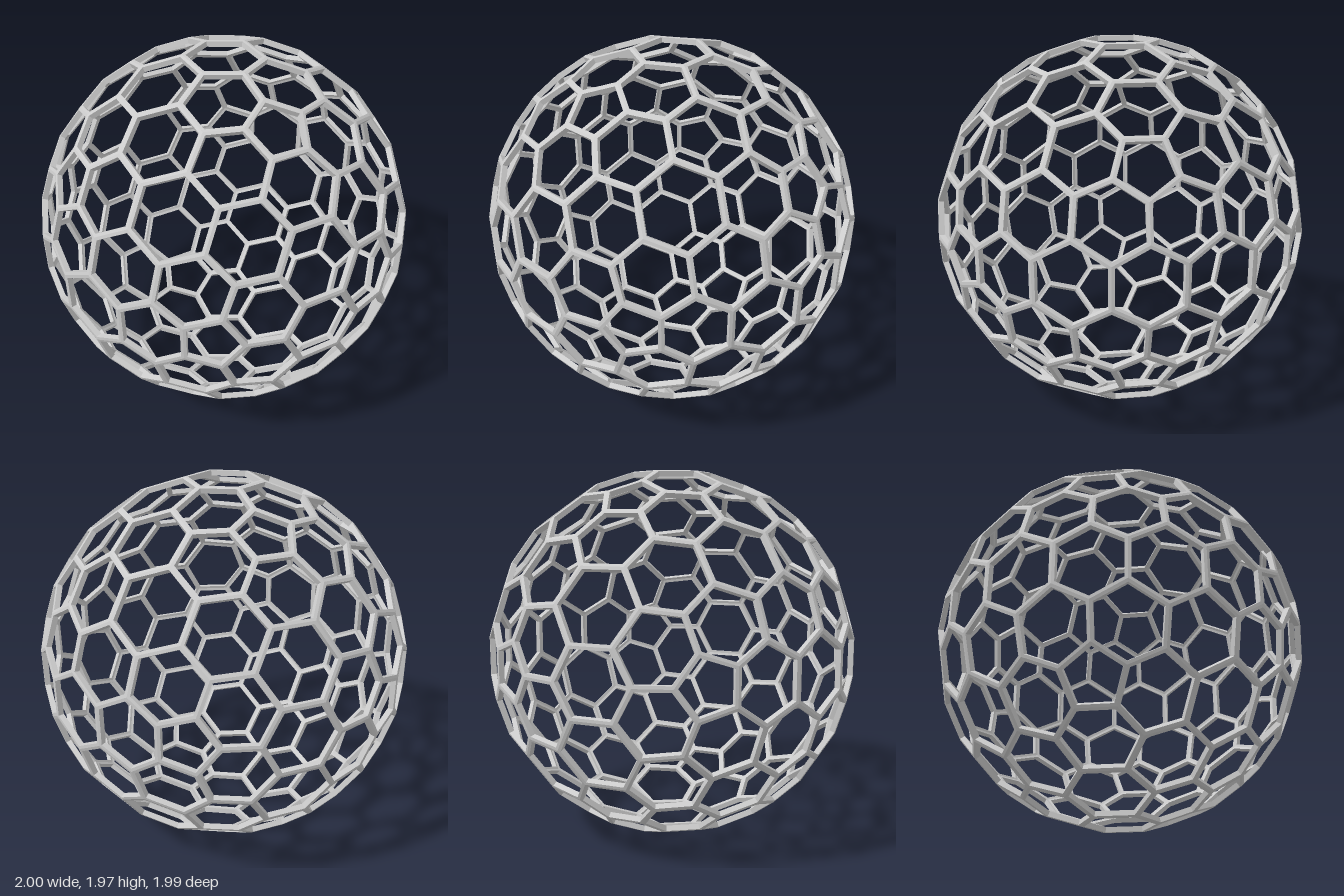
import * as THREE from 'three';

const RADIUS = 1.006; // outer radius at the strut joints
const WIDTH = 0.031;  // strut width
const DEPTH = 0.028;  // strut thickness towards the centre
const CENTRE_Y = 0.995;

// Icosahedron corners with one corner on +z and one on -z
function icosahedronCorners() {
  const corners = [new THREE.Vector3(0, 0, 1)];
  const z = 1 / Math.sqrt(5), r = 2 / Math.sqrt(5);
  for (let k = 0; k < 5; k++) {
    const a = k * Math.PI * 2 / 5;
    corners.push(new THREE.Vector3(r * Math.cos(a), r * Math.sin(a), z));
  }
  return corners.concat(corners.map(v => v.clone().negate()));
}

// Split every icosahedron face in sixths: every third point is a cell centre,
// the others are the joints of the honeycomb
function honeycomb() {
  const corners = icosahedronCorners();
  const cells = [], joints = [];
  const near = (a, b) => a.distanceTo(b) < 1.1;
  const addOnce = (list, item) => {
    if (!list.some(o => o.pos.distanceTo(item.pos) < 1e-3)) list.push(item);
  };
  for (let i = 0; i < 12; i++) for (let j = i + 1; j < 12; j++) for (let k = j + 1; k < 12; k++) {
    const [A, B, C] = [corners[i], corners[j], corners[k]];
    if (!near(A, B) || !near(B, C) || !near(A, C)) continue;
    for (let a = 0; a <= 6; a++) for (let b = 0; b <= 6 - a; b++) {
      const c = 6 - a - b;
      const pos = new THREE.Vector3().addScaledVector(A, a).addScaledVector(B, b)
        .addScaledVector(C, c).normalize();
      const isCell = (a - b) % 3 === 0;
      addOnce(isCell ? cells : joints, { pos, sides: Math.max(a, b, c) === 6 ? 5 : 6 });
    }
  }
  return { cells, joints };
}

// Joints around one cell, counter-clockwise seen from outside
function cellRing(cell, joints) {
  const n = cell.pos;
  const ring = joints.map(j => j.pos)
    .sort((p, q) => p.distanceToSquared(n) - q.distanceToSquared(n))
    .slice(0, cell.sides);
  const u = ring[0].clone().addScaledVector(n, -ring[0].dot(n)).normalize();
  const v = n.clone().cross(u);
  const angle = p => Math.atan2(p.dot(v), p.dot(u));
  return ring.sort((p, q) => angle(p) - angle(q)).map(p => p.clone().multiplyScalar(RADIUS));
}

// One cell's share of the lattice: outer band, wall of the opening, inner band
function addFrame(out, ring) {
  const n = ring.length;
  const mid = ring.reduce((s, p) => s.add(p), new THREE.Vector3()).divideScalar(n);
  const apothem = ring.reduce((s, p) => s + p.distanceTo(mid), 0) / n * Math.cos(Math.PI / n);
  const hole = ring.map(p => p.clone().lerp(mid, WIDTH / 2 / apothem));
  const sink = p => p.clone().multiplyScalar(1 - DEPTH / RADIUS);
  const loops = [ring, hole, hole.map(sink), ring.map(sink)];
  for (let l = 0; l < 3; l++) for (let i = 0; i < n; i++) {
    const j = (i + 1) % n;
    const [a, b, c, d] = [loops[l][i], loops[l][j], loops[l + 1][j], loops[l + 1][i]];
    for (const p of [a, b, c, a, c, d]) out.push(p.x, p.y, p.z);
  }
}

export function createModel() {
  const group = new THREE.Group();
  group.name = 'honeycombSphere';
  const material = new THREE.MeshStandardMaterial({ color: 0xcccccc, flatShading: true });
  const { cells, joints } = honeycomb();

  for (const [name, sides] of [['pentagonFrames', 5], ['hexagonFrames', 6]]) {
    const positions = [];
    for (const cell of cells) if (cell.sides === sides) addFrame(positions, cellRing(cell, joints));
    const geometry = new THREE.BufferGeometry();
    geometry.setAttribute('position', new THREE.Float32BufferAttribute(positions, 3));
    geometry.computeVertexNormals();
    const mesh = new THREE.Mesh(geometry, material);
    mesh.name = name;
    mesh.position.y = CENTRE_Y;
    group.add(mesh);
  }
  return group;
}
